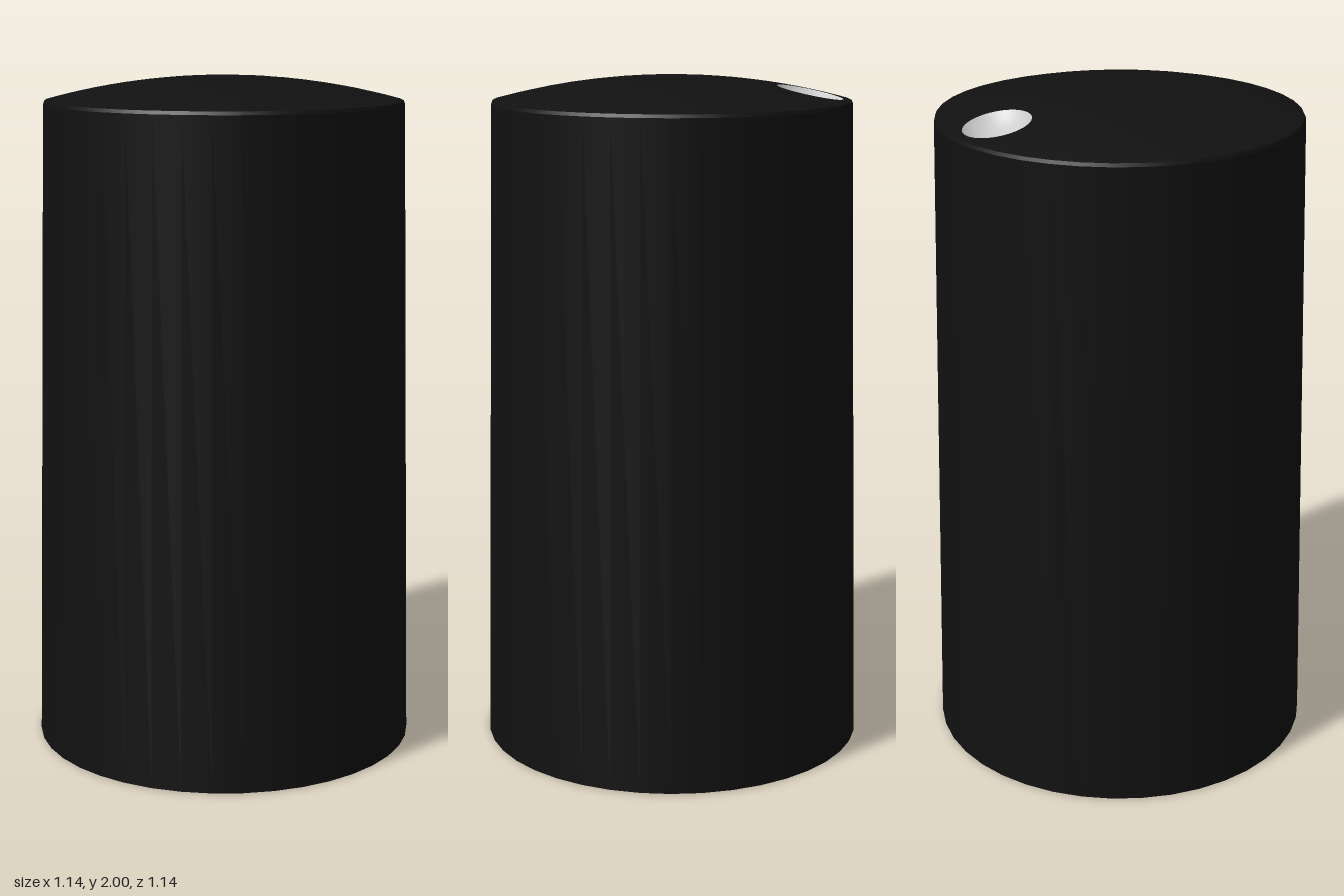
import * as THREE from 'three';

const SEGMENTS = 40;
const DOME_R = 2; // the top is part of a sphere around the origin
const RIM_R = 0.525;
const DOT_R = 0.098;
const DOT_Z = -0.405;
const TILT = Math.asin(DOT_Z / DOME_R);

const black = new THREE.MeshStandardMaterial({ color: 0x111111 });
const grey = new THREE.MeshStandardMaterial({ color: 0xcccccc });

function lathe(name, points, material = black) {
  const profile = points.map(([r, y]) => new THREE.Vector2(r, y));
  const mesh = new THREE.Mesh(new THREE.LatheGeometry(profile, SEGMENTS), material);
  mesh.name = name;
  return mesh;
}

// Domed top: rings that grow from the edge of the dimple to the rim
function domedTop() {
  const rings = 12;
  const pos = [], normal = [], index = [];
  for (let j = 0; j <= rings; j++) {
    const t = j / rings;
    for (let i = 0; i <= SEGMENTS; i++) {
      const a = (i / SEGMENTS) * Math.PI * 2;
      const x = Math.sin(a) * THREE.MathUtils.lerp(DOT_R, RIM_R, t);
      const holeZ = DOT_Z * Math.sqrt(1 - (DOT_R / DOME_R) ** 2) + Math.cos(a) * DOT_R * Math.cos(TILT);
      const z = THREE.MathUtils.lerp(holeZ, Math.cos(a) * RIM_R, t);
      const y = Math.sqrt(DOME_R ** 2 - x * x - z * z);
      pos.push(x, y, z);
      normal.push(x / DOME_R, y / DOME_R, z / DOME_R);
      if (j < rings && i < SEGMENTS) {
        const p = j * (SEGMENTS + 1) + i, q = p + SEGMENTS + 1;
        index.push(p, q, p + 1, q, q + 1, p + 1);
      }
    }
  }
  const geo = new THREE.BufferGeometry();
  geo.setAttribute('position', new THREE.Float32BufferAttribute(pos, 3));
  geo.setAttribute('normal', new THREE.Float32BufferAttribute(normal, 3));
  geo.setIndex(index);
  const mesh = new THREE.Mesh(geo, black);
  mesh.name = 'domedTop';
  return mesh;
}

// Shallow spherical bowl sunk into the top near the back
function pointerDimple() {
  const depth = 0.045;
  const r = (DOT_R ** 2 + depth ** 2) / (2 * depth);
  const edge = Math.asin(DOT_R / r);
  const profile = [];
  for (let i = 0; i <= 8; i++) {
    const a = edge * (1 - i / 8);
    profile.push([r * Math.sin(a), r - depth - r * Math.cos(a)]);
  }
  const bowl = lathe('pointerDimple', profile, grey);
  const distance = Math.sqrt(DOME_R ** 2 - DOT_R ** 2);
  bowl.position.set(0, distance * Math.cos(TILT), distance * Math.sin(TILT));
  bowl.rotation.x = TILT;
  return bowl;
}

export function createModel() {
  const knob = new THREE.Group();
  knob.name = 'knob';
  const rimY = Math.sqrt(DOME_R ** 2 - RIM_R ** 2);
  knob.add(
    lathe('outerWall', [[0.57, 0], [0.529, 1.92]]),
    lathe('topBevel', [[0.529, 1.92], [RIM_R, rimY]]),
    lathe('bottomRim', [[0.47, 0], [0.57, 0]]),
    lathe('innerWall', [[0.44, 1.8], [0.47, 0]]),
    lathe('innerCeiling', [[0, 1.8], [0.44, 1.8]]),
    domedTop(),
    pointerDimple()
  );
  return knob;
}
